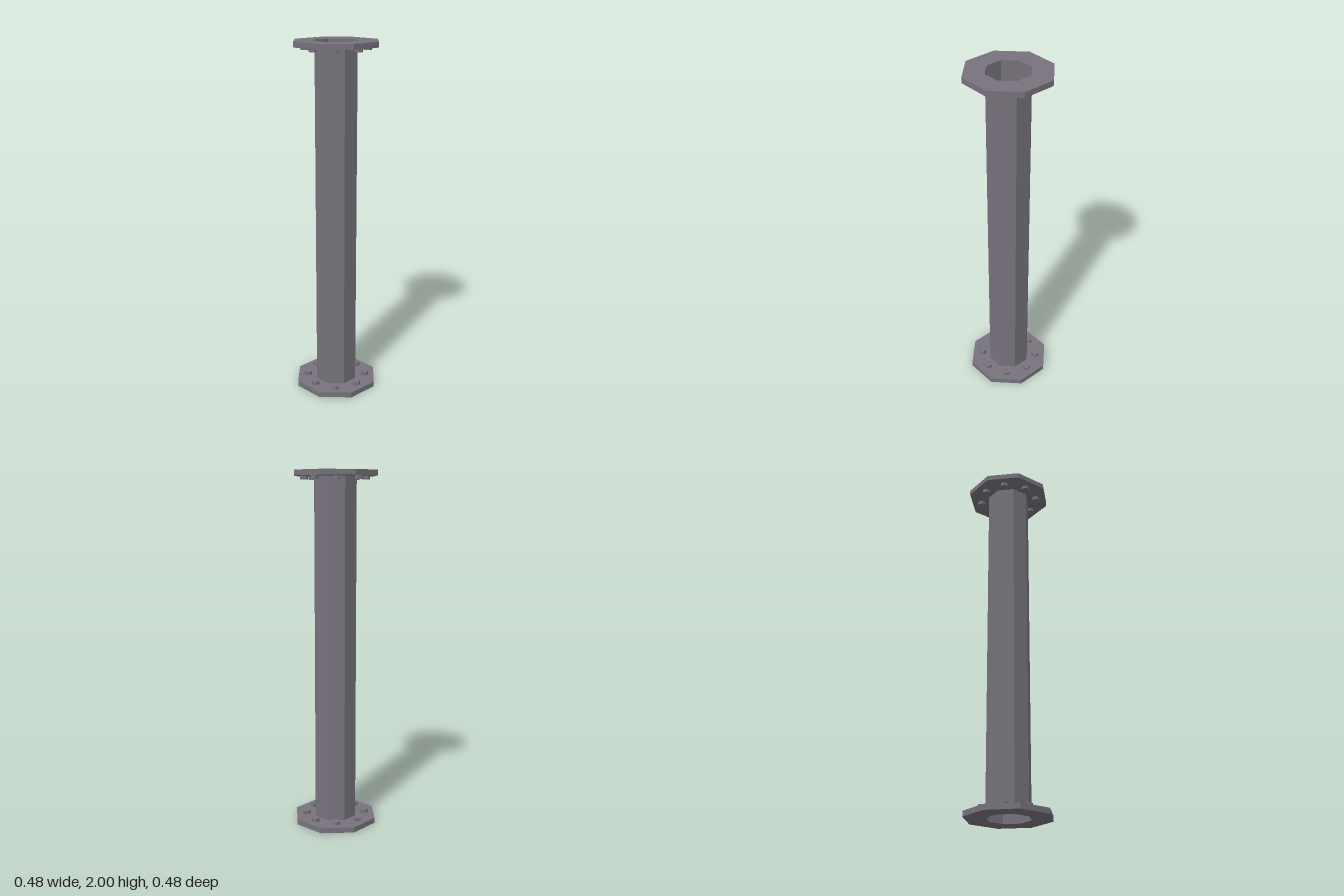
import * as THREE from 'three';

export function createModel() {
  const model = new THREE.Group();
  model.name = 'flangedPipe';
  const material = new THREE.MeshStandardMaterial({ color: 0x77727c, flatShading: true });
  const thinMaterial = material.clone();
  thinMaterial.side = THREE.DoubleSide;

  const sides = 8, height = 2;
  const pipeR = 0.123, flangeR = 0.242, flangeT = 0.03;
  const boltR = 0.023, boltTop = 0.05, boltCircle = 0.168;

  // Thin-walled octagonal pipe, open at both ends
  const pipe = new THREE.Mesh(
    new THREE.CylinderGeometry(pipeR, pipeR, height - 2 * flangeT, sides, 1, true), thinMaterial);
  pipe.name = 'pipe';
  pipe.position.y = height / 2;
  model.add(pipe);

  // Octagonal ring with the pipe's bore
  const ring = [[flangeR, 0], [flangeR, flangeT], [pipeR, flangeT], [pipeR, 0], [flangeR, 0]]
    .map(([x, y]) => new THREE.Vector2(x, y));
  const flangeGeometry = new THREE.LatheGeometry(ring, sides);

  // Hexagonal bolts run through the flange and stand out on the pipe side
  const boltBase = 0.002;
  const boltGeometry = new THREE.CylinderGeometry(boltR, boltR, boltTop - boltBase, 6);

  function makeFlange(name) {
    const group = new THREE.Group();
    group.name = name;
    const plate = new THREE.Mesh(flangeGeometry, material);
    plate.name = 'flangePlate';
    group.add(plate);
    for (let i = 0; i < sides; i++) {
      const angle = (i + 0.5) * Math.PI * 2 / sides;
      const bolt = new THREE.Mesh(boltGeometry, material);
      bolt.name = 'bolt';
      bolt.position.set(Math.sin(angle) * boltCircle, (boltBase + boltTop) / 2, Math.cos(angle) * boltCircle);
      bolt.rotation.y = angle;
      group.add(bolt);
    }
    return group;
  }

  const bottom = makeFlange('bottomFlange');
  const top = makeFlange('topFlange');
  top.rotation.x = Math.PI;
  top.position.y = height;
  model.add(bottom, top);
  return model;
}
